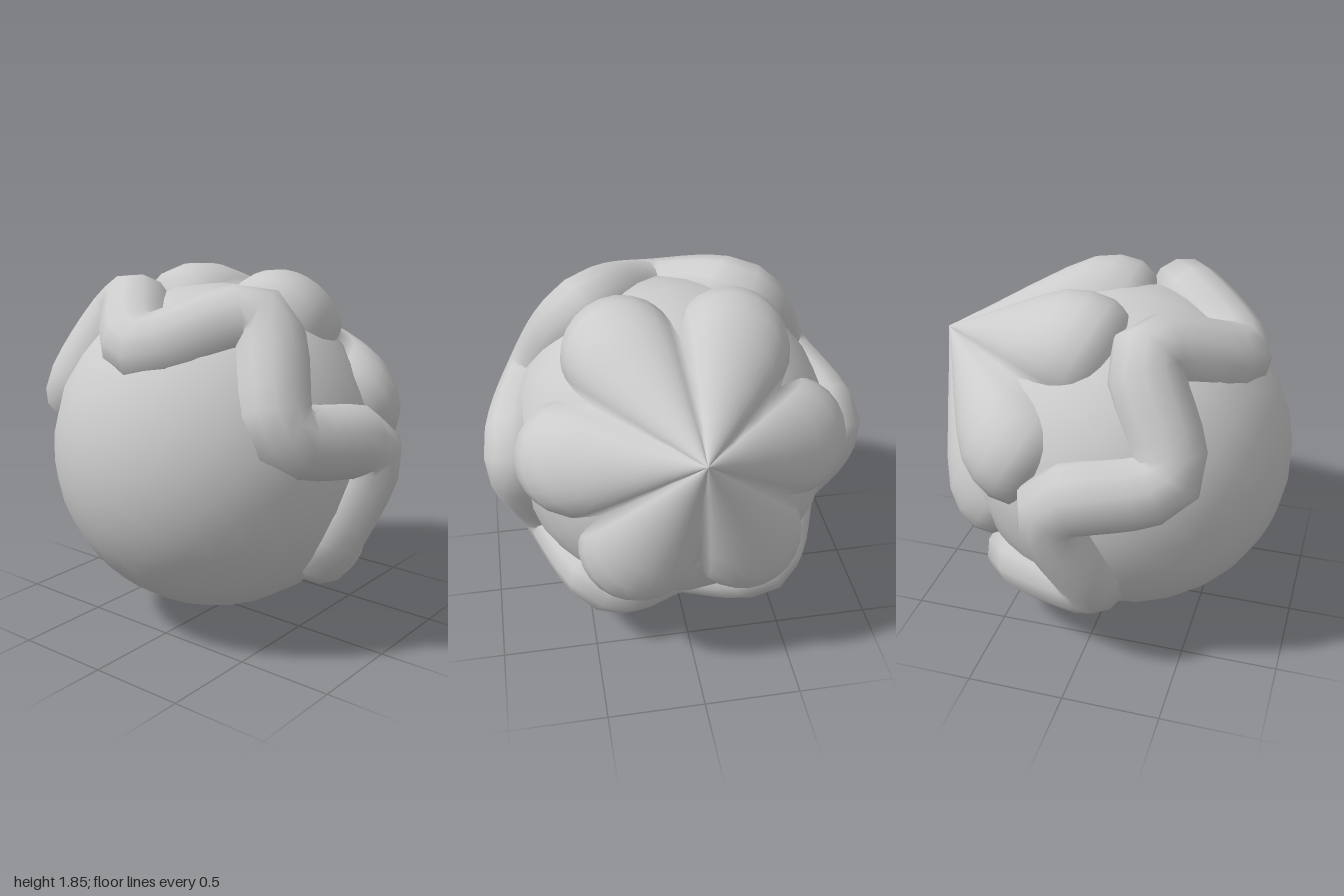
import * as THREE from 'three';

const material = new THREE.MeshStandardMaterial({ color: 0xcccccc, side: THREE.DoubleSide });

// Six-lobed pointed flower; local +y is the flower axis.
function flowerGeometry() {
  const perPetal = 12, n = perPetal * 6;
  const centre = 0.535, lobe = 0.3; // each petal outline is an arc of a circle
  // [fraction of outline radius, height along the axis]
  const profile = [[0, 1.14], [0.25, 1.01], [0.5, 0.885], [0.72, 0.77], [0.87, 0.675],
    [0.96, 0.57], [1, 0.46], [0.97, 0.36], [0.86, 0.28]];
  const pos = [], index = [];
  profile.forEach(([t, y], i) => {
    for (let j = 0; j < n; j++) {
      const angle = (j / n) * Math.PI * 2;
      const off = ((j % perPetal) / perPetal - 0.5) * Math.PI / 3;
      const s = centre * Math.sin(off);
      const r = t * (centre * Math.cos(off) + Math.sqrt(lobe * lobe - s * s));
      pos.push(r * Math.sin(angle), y, r * Math.cos(angle));
      if (i === 0) continue;
      const k = (j + 1) % n, a = (i - 1) * n, b = i * n;
      index.push(a + j, b + j, b + k);
      if (i > 1) index.push(a + j, b + k, a + k);
    }
  });
  const g = new THREE.BufferGeometry();
  g.setAttribute('position', new THREE.Float32BufferAttribute(pos, 3));
  g.setIndex(index);
  g.computeVertexNormals();
  return g;
}

// Thick cord zigzagging round the ball, six bends each way.
function cordGeometry() {
  const points = [];
  for (let i = 0; i < 12; i++) {
    const angle = (i * Math.PI) / 6;
    const high = i % 2 === 1;
    const r = high ? 0.81 : 0.755;
    points.push(new THREE.Vector3(r * Math.sin(angle), high ? 0.18 : -0.18, r * Math.cos(angle)));
  }
  const path = new THREE.CatmullRomCurve3(points, true);
  return new THREE.TubeGeometry(path, 72, 0.185, 12, true);
}

export function createModel() {
  const model = new THREE.Group();
  model.name = 'flowerBall';

  // Everything shares one axis, leaning up and to the back.
  const tilted = new THREE.Group();
  tilted.name = 'tiltedBody';
  tilted.position.set(0, 0.925, 0.08);
  tilted.rotation.x = -1.07;
  model.add(tilted);

  const add = (name, geometry) => {
    const mesh = new THREE.Mesh(geometry, material);
    mesh.name = name;
    tilted.add(mesh);
  };
  add('ball', new THREE.SphereGeometry(0.845, 24, 16));
  add('zigzagCord', cordGeometry());
  add('flower', flowerGeometry());
  return model;
}
